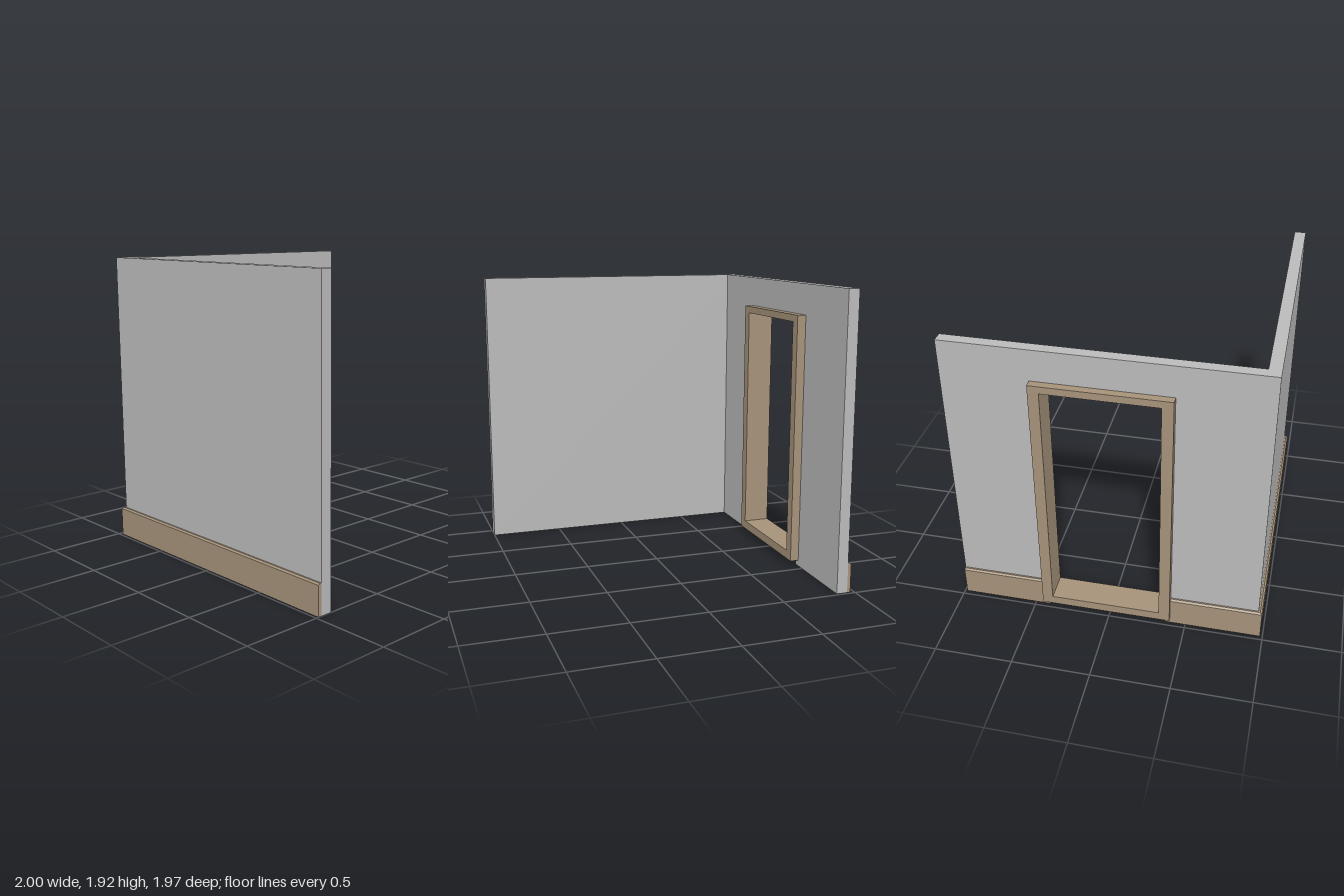
import * as THREE from 'three';

const HEIGHT = 1.925;
const OUT_X = -0.95, IN_X = -0.877;   // side wall faces
const OUT_Z = 0.962, IN_Z = 0.886;    // front wall faces
const BACK_Z = -0.985;
const GAP_Z = [-0.405, 0.365];        // doorway cut in the side wall

export function createModel() {
  const group = new THREE.Group();
  const plaster = new THREE.MeshStandardMaterial({ color: 0xbababa });
  plaster.name = 'grey plaster';
  const wood = new THREE.MeshStandardMaterial({ color: 0xa5927a });
  wood.name = 'tan wood';

  const add = (name, geometry, material) => {
    const mesh = new THREE.Mesh(geometry, material);
    mesh.name = name;
    group.add(mesh);
    return mesh;
  };

  // Shape drawn in (z, y), extruded along x from x0 to x1
  const extrudeAlongX = (shape, x0, x1) => {
    const g = new THREE.ExtrudeGeometry(shape, { depth: x1 - x0, bevelEnabled: false });
    return g.rotateY(-Math.PI / 2).translate(x1, 0, 0);
  };
  const points = (list) => list.map(([a, b]) => new THREE.Vector2(a, b));
  const rect = (z0, z1, y0, y1) => points([[z0, y0], [z1, y0], [z1, y1], [z0, y1]]);

  // Side wall with a doorway open at the floor
  const doorTop = 1.69;
  const sideWall = new THREE.Shape(points([
    [BACK_Z, 0], [GAP_Z[0], 0], [GAP_Z[0], doorTop], [GAP_Z[1], doorTop],
    [GAP_Z[1], 0], [IN_Z, 0], [IN_Z, HEIGHT], [BACK_Z, HEIGHT],
  ]));
  add('sideWall', extrudeAlongX(sideWall, OUT_X, IN_X), plaster);

  // Front wall, including the corner
  add('frontWall', new THREE.BoxGeometry(1 - OUT_X, HEIGHT, OUT_Z - IN_Z), plaster)
    .position.set((1 + OUT_X) / 2, HEIGHT / 2, (OUT_Z + IN_Z) / 2);

  // Door frame with sill, standing proud on both sides
  const frame = new THREE.Shape(rect(-0.443, 0.4, 0.04, 1.722));
  frame.holes.push(new THREE.Path(rect(-0.375, 0.33, 0.098, 1.675)));
  add('doorFrame', extrudeAlongX(frame, -1, -0.818), wood);

  // Skirting: chamfered section, extruded along z, optionally mitred at an end
  const section = new THREE.Shape(points([
    [0, 0], [0, 0.197], [-0.01, 0.197], [-0.022, 0.188], [-0.022, 0],
  ]));
  const skirting = (from, to, mitreStart, mitreEnd) => {
    const g = new THREE.ExtrudeGeometry(section, { depth: to - from, bevelEnabled: false });
    const p = g.attributes.position;
    for (let i = 0; i < p.count; i++) {
      const atEnd = p.getZ(i) > (to - from) / 2;
      const shift = atEnd ? (mitreEnd ? -p.getX(i) : 0) : (mitreStart ? p.getX(i) : 0);
      p.setZ(i, p.getZ(i) + from + shift);
    }
    return g;
  };
  add('sideSkirtingBack', skirting(BACK_Z, GAP_Z[0], false, false).translate(OUT_X, 0, 0), wood);
  add('sideSkirtingFront', skirting(GAP_Z[1], OUT_Z, false, true).translate(OUT_X, 0, 0), wood);
  add('frontSkirting', skirting(OUT_X, 1, true, false).rotateY(Math.PI / 2).translate(0, 0, OUT_Z), wood);

  return group;
}
